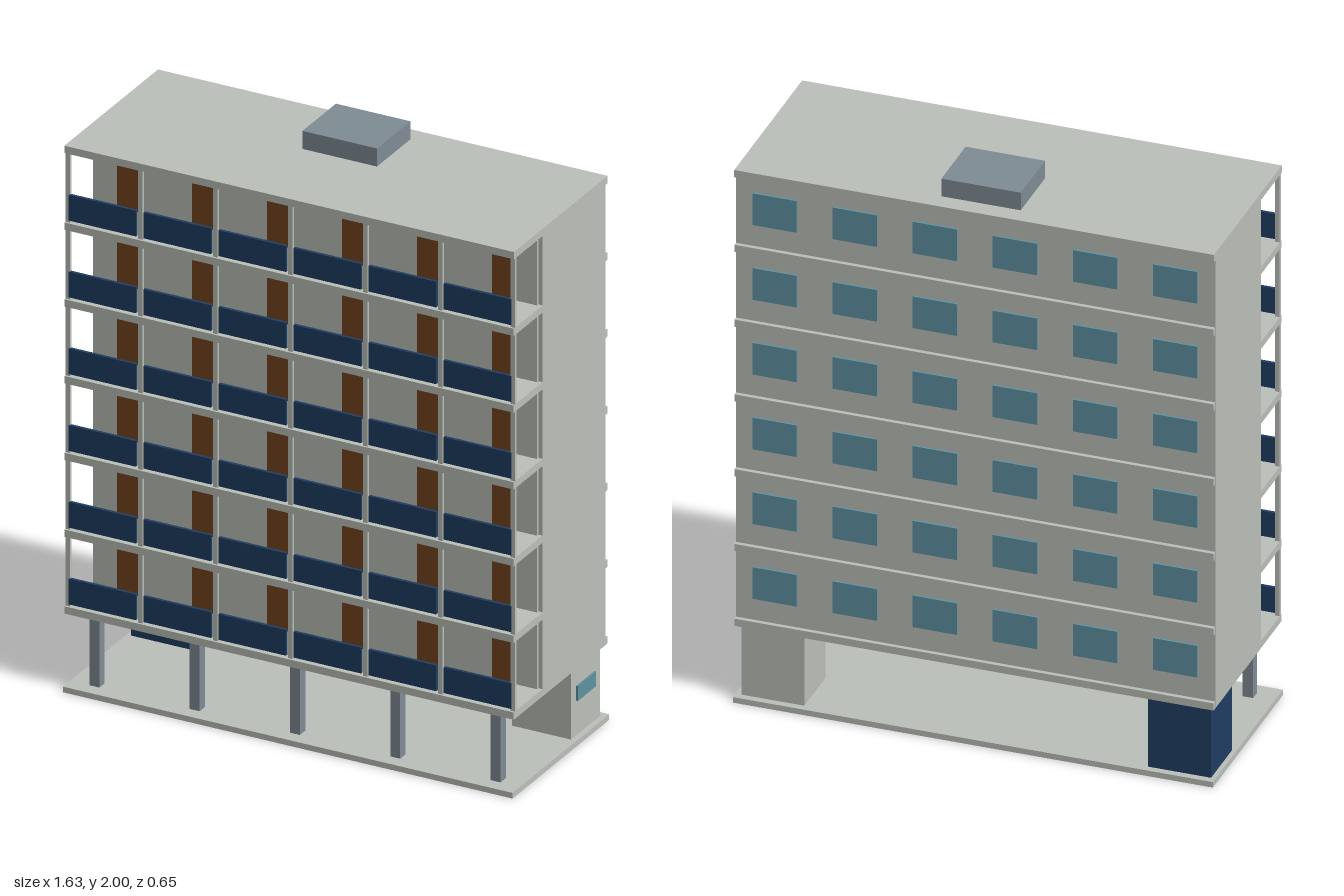
import * as THREE from 'three';

const mat = (name, color) => {
  const m = new THREE.MeshStandardMaterial({ color });
  m.name = name;
  return m;
};

export function createModel() {
  const concrete = mat('pale concrete', 0xbdc1bb);
  const navy = mat('navy blue', 0x1f3e63);
  const steel = mat('blue grey', 0x808d96);
  const wood = mat('brown wood', 0x75441f);
  const glass = mat('teal glass', 0x5f93a3);

  const root = new THREE.Group();
  root.name = 'apartmentBlock';

  // Box given by its limits on each axis
  const box = (parent, name, material, x0, x1, y0, y1, z0, z1) => {
    const mesh = new THREE.Mesh(new THREE.BoxGeometry(x1 - x0, y1 - y0, z1 - z0), material);
    mesh.position.set((x0 + x1) / 2, (y0 + y1) / 2, (z0 + z1) / 2);
    mesh.name = name;
    parent.add(mesh);
    return mesh;
  };

  const floors = 6, bays = 6;
  const pitch = 0.2725, bay = 0.272;
  const slabY = 0.275, slabT = 0.026, half = 0.815;

  // Ground level: base, columns and two rooms
  box(root, 'baseSlab', concrete, -half, half, 0, 0.02, -0.325, 0.325);
  for (let i = -2; i <= 2; i++) {
    const x = i * 0.3635;
    box(root, 'column', steel, x - 0.018, x + 0.018, 0.02, slabY, 0.24, 0.276);
  }
  box(root, 'blueRoom', navy, -0.8, -0.585, 0.02, slabY, -0.3, -0.105);
  box(root, 'serviceRoom', concrete, 0.582, 0.795, 0.02, slabY, -0.3, -0.105);
  box(root, 'serviceWindow', glass, 0.795, 0.801, 0.143, 0.196, -0.262, -0.14);

  // Main body with side walls and recessed balcony wall
  const roofY = slabY + floors * pitch;
  box(root, 'body', concrete, -half, half, slabY + 0.002, roofY + 0.002, -0.3, 0.122);
  box(root, 'balconyWall', concrete, -0.8, 0.8, slabY + 0.002, roofY + 0.002, 0.122, 0.131);

  // Floor slabs and roof
  for (let f = 0; f <= floors; f++) {
    const y = slabY + f * pitch;
    const w = f === floors ? half : half - 0.001;
    box(root, f === floors ? 'roofSlab' : 'floorSlab', concrete, -w, w, y, y + slabT, -0.315, 0.315);
  }
  box(root, 'roofHouse', steel, -0.135, 0.135, roofY + slabT, 2, -0.25, -0.025);

  // One storey: posts, railings, doors and rear windows
  for (let f = 0; f < floors; f++) {
    const storey = new THREE.Group();
    storey.name = 'storey';
    storey.position.y = slabY + f * pitch + slabT;
    root.add(storey);
    const h = pitch - slabT;
    for (let i = 0; i <= bays; i++) {
      const x = THREE.MathUtils.clamp((i - bays / 2) * bay, -0.806, 0.806);
      box(storey, 'balconyPost', concrete, x - 0.008, x + 0.008, 0, h, 0.298, 0.308);
    }
    for (let i = 0; i < bays; i++) {
      const x = (i - (bays - 1) / 2) * bay;
      box(storey, 'balconyRailing', navy, x - 0.1225, x + 0.1225, 0.008, 0.099, 0.3, 0.311);
      box(storey, 'door', wood, x - 0.04, x + 0.04, 0, 0.195, 0.131, 0.138);
      box(storey, 'rearWindow', glass, x - 0.075, x + 0.075, 0.08, 0.195, -0.308, -0.3);
    }
  }
  return root;
}
